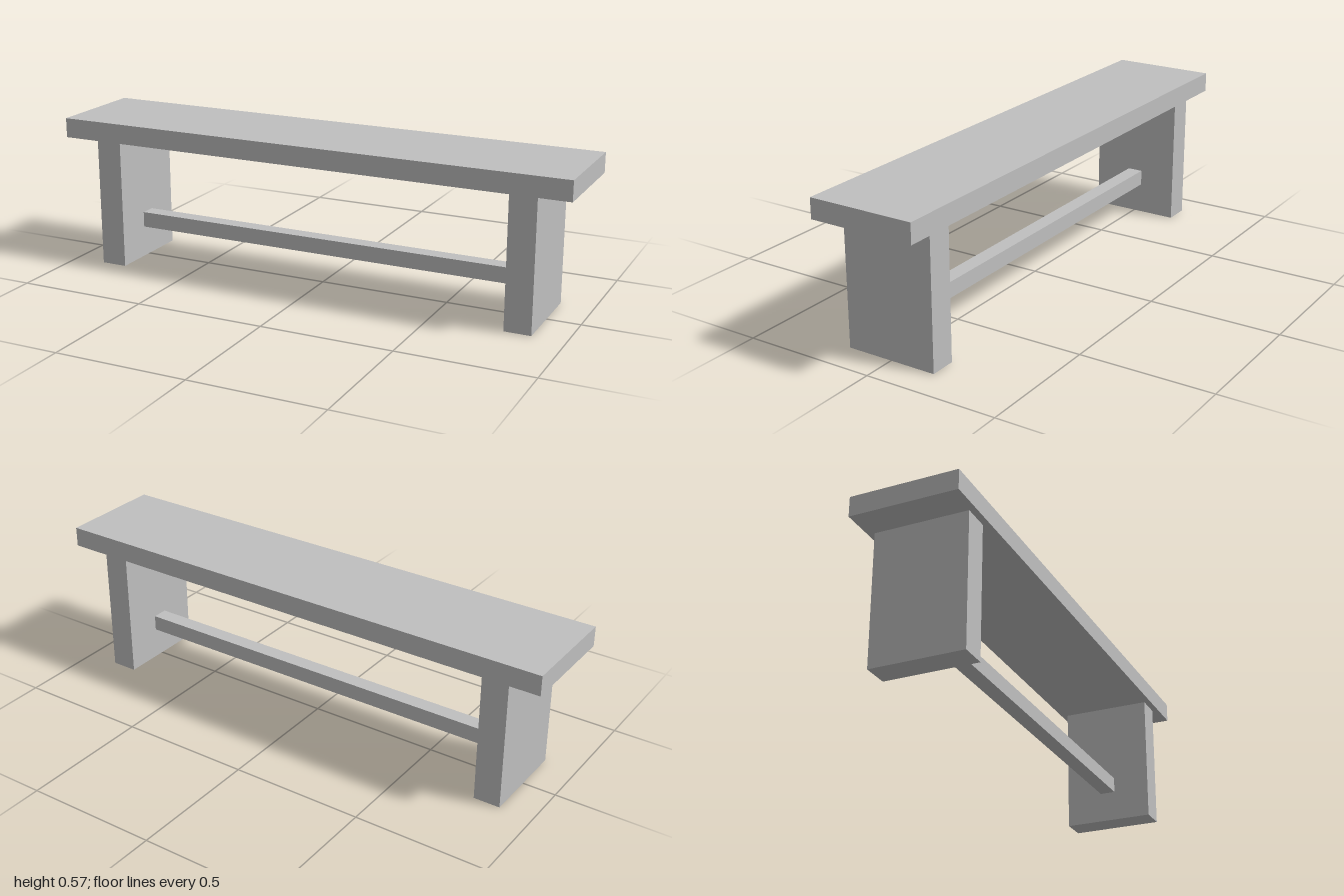
import * as THREE from 'three';

export function createModel() {
  const model = new THREE.Group();
  model.name = 'bench';

  const paint = new THREE.MeshStandardMaterial({ color: 0xbfbfbf });
  paint.name = 'light grey';

  // Adds a box of the given size, standing with its underside at y = bottom
  function addBoard(name, width, height, depth, x, bottom) {
    const board = new THREE.Mesh(new THREE.BoxGeometry(width, height, depth), paint);
    board.name = name;
    board.position.set(x, bottom + height / 2, 0);
    model.add(board);
  }

  // Seat plank
  addBoard('seat', 2, 0.075, 0.4, 0, 0.5);

  // Slab legs, mirrored
  for (const side of [1, -1]) {
    addBoard(side > 0 ? 'leftLeg' : 'rightLeg', 0.1, 0.5, 0.35, side * 0.825, 0);
  }

  // Stretcher between the legs
  addBoard('stretcher', 1.55, 0.06, 0.06, 0, 0.12);

  return model;
}
